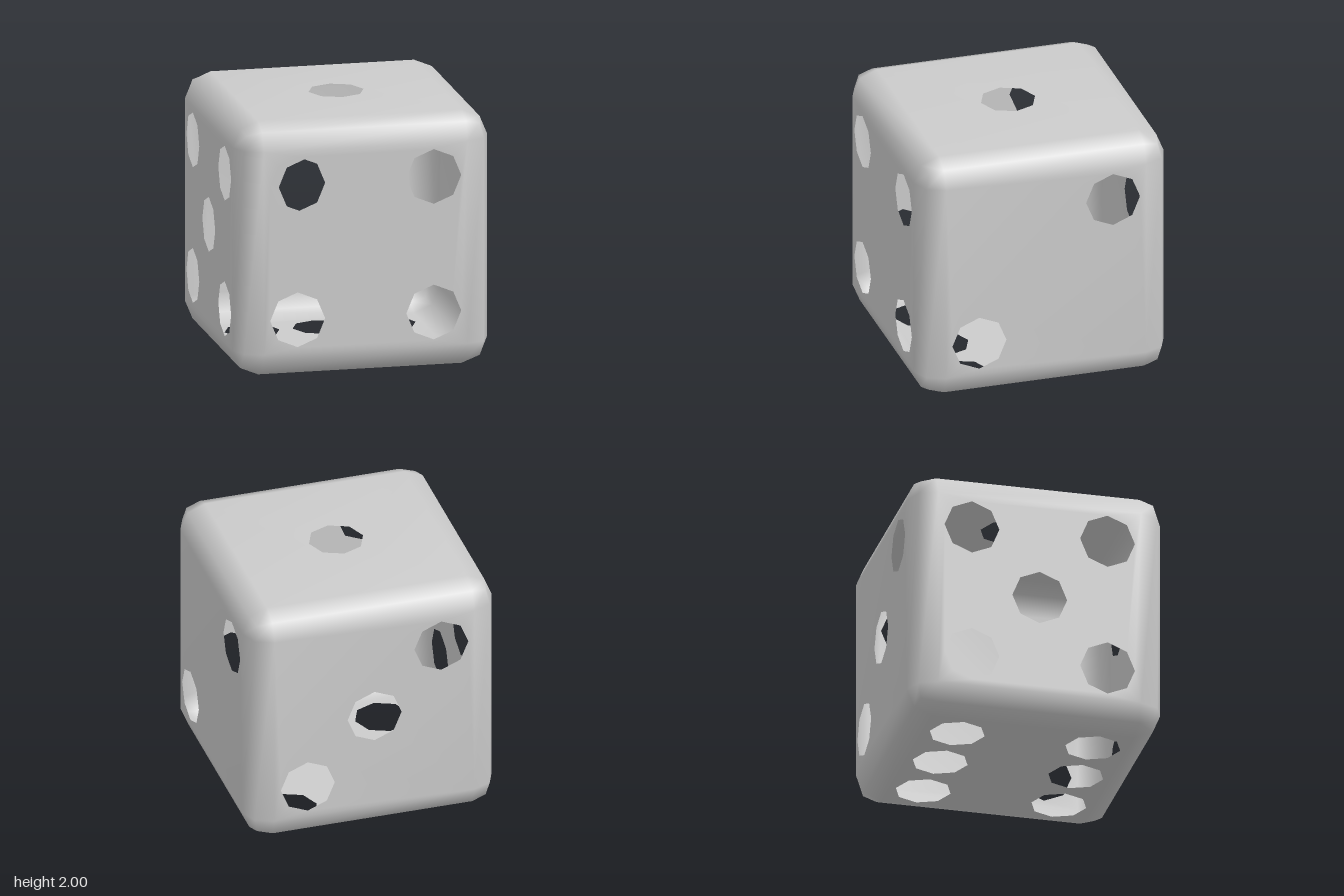
import * as THREE from 'three';
import { mergeGeometries, mergeVertices } from 'three/addons/utils/BufferGeometryUtils.js';

const HALF = 1, FLAT = 0.8, BEVEL = HALF - FLAT;
const PIP = 0.535, PIP_RADIUS = 0.216;

// Rounded edges and corners: a 3x3x3 box pushed round, with the flat middle of each side left out
function createRim() {
  const box = new THREE.BoxGeometry(2, 2, 2, 3, 3, 3);
  const pos = box.attributes.position;
  const p = new THREE.Vector3(), core = new THREE.Vector3();
  const snap = c => Math.sign(c) * (Math.abs(c) < 0.5 ? FLAT : HALF);
  for (let i = 0; i < pos.count; i++) {
    p.fromBufferAttribute(pos, i);
    p.set(snap(p.x), snap(p.y), snap(p.z));
    core.copy(p).clampScalar(-FLAT, FLAT);
    p.sub(core).setLength(BEVEL).add(core);
    pos.setXYZ(i, p.x, p.y, p.z);
  }
  box.setIndex(Array.from(box.index.array).filter((_, i) => Math.floor(i / 6) % 9 !== 4));
  return box;
}

// Flat side facing +z, with an octagonal opening for every pip
function createPanel(pips) {
  const shape = new THREE.Shape([[-1, -1], [1, -1], [1, 1], [-1, 1]]
    .map(([x, y]) => new THREE.Vector2(x * FLAT, y * FLAT)));
  for (const [u, v] of pips) {
    const corners = [];
    for (let i = 0; i < 8; i++) {
      const a = -i * Math.PI / 4;
      corners.push(new THREE.Vector2(
        u * PIP + PIP_RADIUS * Math.cos(a), v * PIP + PIP_RADIUS * Math.sin(a)));
    }
    shape.holes.push(new THREE.Path(corners));
  }
  return new THREE.ShapeGeometry(shape).translate(0, 0, HALF);
}

export function createModel() {
  // Pip layouts, in units of the pip spacing
  const one = [[0, 0]];
  const two = [[-1, -1], [1, 1]];
  const three = [...two, ...one];
  const four = [...two, [-1, 1], [1, -1]];
  const five = [...four, ...one];
  const six = [...four, [0, 1], [0, -1]];

  const quarter = Math.PI / 2;
  const parts = [
    createRim(),
    createPanel(four),                        // front
    createPanel(three).rotateY(Math.PI),      // back
    createPanel(two).rotateY(quarter),        // +x side
    createPanel(five).rotateY(-quarter),      // -x side
    createPanel(one).rotateX(-quarter),       // top
    createPanel(six).rotateX(quarter),        // bottom
  ];

  // Weld everything into one smooth, hollow shell
  for (const part of parts) {
    part.deleteAttribute('normal');
    part.deleteAttribute('uv');
    part.clearGroups();
  }
  const shell = mergeVertices(mergeGeometries(parts), 1e-3);
  shell.computeVertexNormals();
  shell.translate(0, HALF, 0);

  const mesh = new THREE.Mesh(shell,
    new THREE.MeshStandardMaterial({ color: 0xcccccc, side: THREE.DoubleSide }));
  mesh.name = 'dieShell';

  const group = new THREE.Group();
  group.name = 'die';
  group.add(mesh);
  return group;
}
